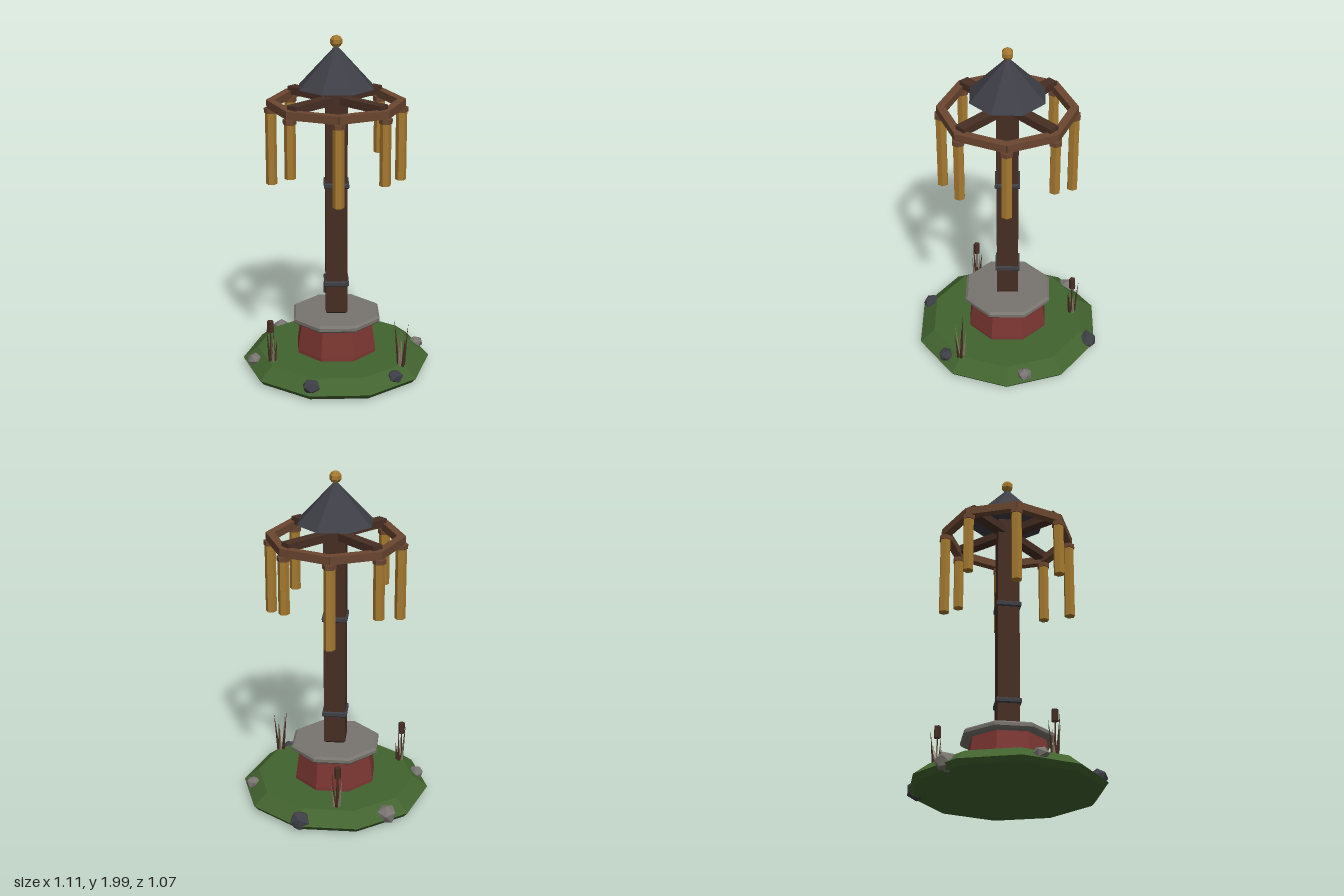
import * as THREE from 'three';

const mat = (name, color) => {
  const m = new THREE.MeshStandardMaterial({ color });
  m.name = name;
  return m;
};

export function createModel() {
  const grass = mat('grass green', 0x42632f);
  const brick = mat('brick red', 0x7c3732);
  const stone = mat('pale stone', 0x78746f);
  const slate = mat('dark slate', 0x3e3e46);
  const darkWood = mat('dark wood', 0x472e24);
  const wood = mat('ring wood', 0x6b4630);
  const gold = mat('brass', 0xa67a30);
  const straw = mat('dry straw', 0x857a64);

  const model = new THREE.Group();
  model.name = 'windChimePost';
  const body = new THREE.Group();
  body.name = 'body';
  body.position.set(-0.004, 0, -0.003);
  model.add(body);

  // Adds a faceted mesh
  const add = (name, geometry, material, x = 0, y = 0, z = 0, parent = body) => {
    const g = geometry.index ? geometry.toNonIndexed() : geometry;
    g.computeVertexNormals();
    const mesh = new THREE.Mesh(g, material);
    mesh.name = name;
    mesh.position.set(x, y, z);
    parent.add(mesh);
    return mesh;
  };
  // Closed faceted solid from [radius, height] rows
  const turned = (rows, sides, turn) => new THREE.LatheGeometry(
    rows.map(([r, y]) => new THREE.Vector2(r, y)), sides).rotateY(turn);
  const OCT = 1 / Math.cos(Math.PI / 8); // flat distance to corner radius
  const octagon = (rows) => turned(rows.map(([r, y]) => [r * OCT, y]), 8, Math.PI / 8);
  // Upright square bar with chamfered edges, standing on y = 0
  const bar = (half, height, c) => {
    const k = half - c;
    const s = new THREE.Shape([[k, -k], [k, k], [-k, k], [-k, -k]].map(p => new THREE.Vector2(...p)));
    return new THREE.ExtrudeGeometry(s, {
      depth: height - 2 * c, bevelEnabled: true, bevelSegments: 1, bevelSize: c, bevelThickness: c,
    }).translate(0, 0, c).rotateX(-Math.PI / 2);
  };

  // Ground and pedestal
  add('ground', turned([[0, 0.02], [0.53, 0.02], [0.556, 0.05], [0.467, 0.12], [0, 0.12]], 10, Math.PI / 2), grass);
  add('pedestal', octagon([[0, 0.115], [0.228, 0.115], [0.228, 0.14], [0.205, 0.315], [0, 0.315]]), brick);
  add('pedestalSlab', octagon([[0, 0.308], [0.24, 0.308], [0.252, 0.32], [0.252, 0.338], [0.238, 0.35], [0, 0.35]]), stone);

  // Post with two metal bands
  add('post', bar(0.063, 1.36, 0.012), darkWood, 0, 0.35, 0);
  for (const y of [0.525, 1.125]) add('postBand', bar(0.072, 0.032, 0.006), slate, 0, y, 0);

  // Roof and finial
  add('roof', octagon([[0, 1.705], [0.207, 1.705], [0, 1.945]]), slate);
  add('finial', new THREE.SphereGeometry(0.036, 6, 5), gold, 0, 1.964, 0);

  // Crossed arms
  for (const a of [1, -1]) {
    add('crossArm', new THREE.BoxGeometry(0.715, 0.046, 0.062), darkWood, 0, 1.636, 0).rotation.y = a * Math.PI / 4;
  }

  // Eight-sided ring with a chime under each corner
  const R = 0.37;
  const chimeEnds = [1.16, 1.205, 1.115, 1.25, 1.14, 1.235, 1.09, 1.25];
  chimeEnds.forEach((end, i) => {
    const a = i * Math.PI / 4;
    const m = a + Math.PI / 8;
    const d = R * Math.cos(Math.PI / 8);
    add('ringBeam', new THREE.BoxGeometry(0.046, 0.046, 0.295), wood,
      d * Math.cos(m), 1.611, d * Math.sin(m)).rotation.y = -m;
    const x = R * Math.cos(a), z = R * Math.sin(a), top = 1.565;
    add('chimeCap', new THREE.CylinderGeometry(0.038, 0.038, 0.027, 6).rotateY(Math.PI / 2), wood, x, 1.574, z);
    add('chime', new THREE.CylinderGeometry(0.032, 0.032, top - end, 6).rotateY(Math.PI / 2), gold, x, (top + end) / 2, z);
  });

  // Rocks around the rim: x, y, z, radius, material
  [
    [0.16, 0.063, -0.482, 0.063, slate], [0.325, 0.085, 0.363, 0.05, slate],
    [-0.157, 0.085, 0.477, 0.055, slate], [-0.33, 0.068, -0.372, 0.062, stone],
    [0.487, 0.085, -0.105, 0.046, stone], [-0.484, 0.085, 0.106, 0.048, stone],
  ].forEach(([x, y, z, r, material], i) => {
    const g = new THREE.IcosahedronGeometry(r, 0).rotateX(i * 1.3).rotateY(i * 2.1).scale(1, i === 0 || i === 3 ? 0.95 : 0.8, 1);
    add('rock', g, material, x, y, z);
  });

  // Reed clumps: x, z, cattail or not
  const up = new THREE.Vector3(0, 1, 0);
  [[-0.38, 0.2, true], [0.367, 0.275, false], [-0.04, -0.395, true]].forEach(([x, z, cattail], n) => {
    const clump = new THREE.Group();
    clump.name = 'reedClump';
    clump.position.set(x, 0.11, z);
    body.add(clump);
    for (let i = 0; i < 5; i++) {
      const a = i * Math.PI * 0.4 + n;
      const h = (cattail ? 0.14 : 0.19) + 0.025 * ((i * 2) % 5);
      const blade = add('reedBlade', new THREE.ConeGeometry(0.009, h, 4).translate(0, h / 2, 0),
        i % 2 ? straw : darkWood, 0.015 * Math.cos(a), 0, 0.015 * Math.sin(a), clump);
      blade.quaternion.setFromUnitVectors(up, new THREE.Vector3(0.1 * Math.cos(a), 1, 0.1 * Math.sin(a)).normalize());
    }
    if (cattail) {
      add('cattailStem', new THREE.CylinderGeometry(0.004, 0.005, 0.2, 5), darkWood, -0.008, 0.1, 0, clump);
      add('cattailHead', new THREE.CylinderGeometry(0.02, 0.02, 0.068, 5), darkWood, -0.008, 0.226, 0, clump);
    }
  });

  return model;
}
